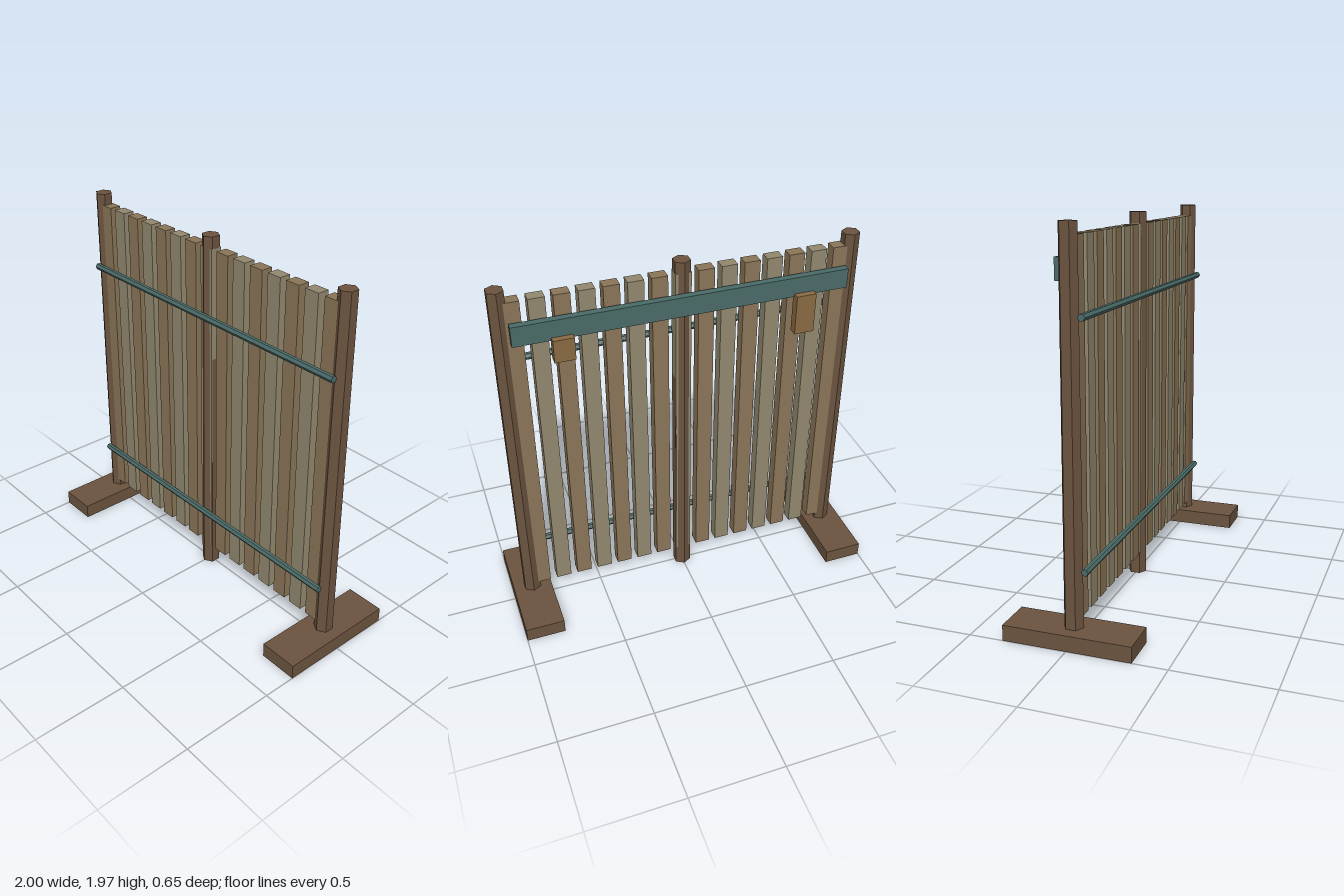
import * as THREE from 'three';

const mat = (color) => new THREE.MeshStandardMaterial({ color, flatShading: true });

export function createModel() {
  const group = new THREE.Group();
  const postWood = mat(0x6b543f);
  const brownWood = mat(0x8b7658);
  const oliveWood = mat(0x92886e);
  const blockWood = mat(0x8a6a42);
  const teal = mat(0x4a6b68);

  const add = (name, geometry, material, x, y, z) => {
    const mesh = new THREE.Mesh(geometry, material);
    mesh.name = name;
    mesh.position.set(x, y, z);
    group.add(mesh);
    return mesh;
  };
  // Box given by its centre in x and z and its bottom and top in y
  const box = (name, material, x, z, w, d, y0, y1) =>
    add(name, new THREE.BoxGeometry(w, y1 - y0, d), material, x, (y0 + y1) / 2, z);

  // Hexagonal posts, slightly thicker at the foot
  const postHeight = 1.965;
  for (const [name, x] of [['rightPost', -0.895], ['middlePost', 0], ['leftPost', 0.895]]) {
    add(name, new THREE.CylinderGeometry(0.046, 0.05, postHeight, 6), postWood, x, postHeight / 2, 0);
  }

  // Flat feet under the outer posts
  for (const [name, side] of [['rightFoot', -1], ['leftFoot', 1]]) {
    box(name, postWood, side * 0.895, 0, 0.21, 0.65, 0, 0.08);
  }

  // Upright slats in two alternating wood tones
  for (let i = 0; i < 15; i++) {
    box('slat' + (i + 1), i % 2 ? oliveWood : brownWood, (i - 7) * 0.119, 0, 0.082, 0.062, 0.12, 1.905);
  }

  // Thin round rails across the front
  for (const [name, y] of [['lowerFrontRail', 0.36], ['upperFrontRail', 1.55]]) {
    const rail = add(name, new THREE.CylinderGeometry(0.018, 0.018, 1.805, 6), teal, 0, y, 0.06);
    rail.rotation.z = Math.PI / 2;
  }

  // Plank rail and hanging blocks on the back
  box('backRail', teal, 0, -0.066, 1.715, 0.038, 1.7, 1.805);
  box('rightBackBlock', blockWood, -0.62, -0.095, 0.105, 0.048, 1.5, 1.715);
  box('leftBackBlock', blockWood, 0.62, -0.095, 0.105, 0.048, 1.595, 1.715);

  return group;
}
